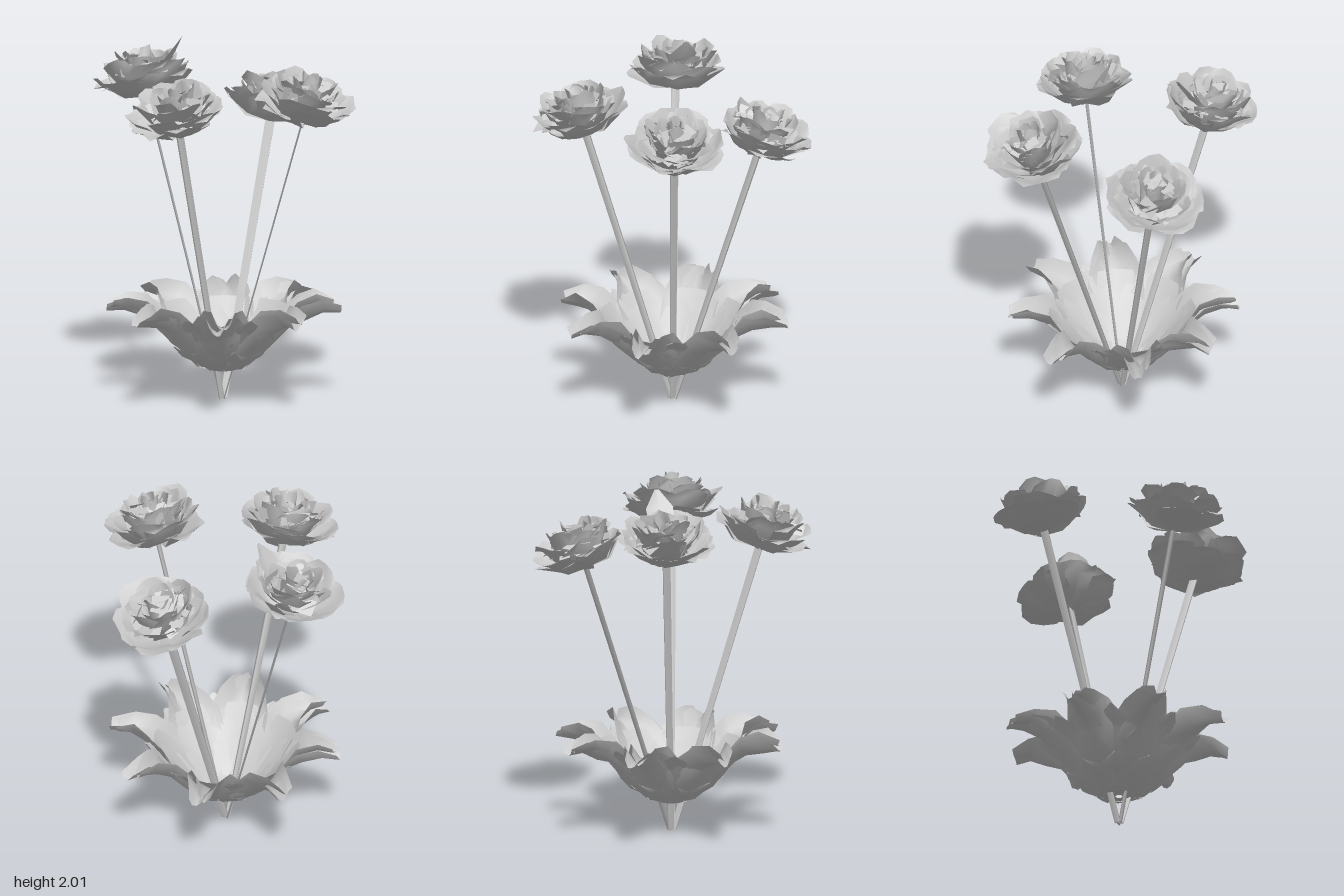
import * as THREE from 'three';
import { mergeGeometries } from 'three/addons/utils/BufferGeometryUtils.js';

const petalMat = new THREE.MeshStandardMaterial({ color: 0xcccccc, side: THREE.DoubleSide });

let seed = 7;
const rand = () => {
  seed = (seed * 16807) % 2147483647;
  return seed / 2147483647;
};
const jitter = (a) => (rand() * 2 - 1) * a;

// Petal from rows [radius, height, half width, edge lift], wrapped around the y axis
function petal(rows, angle, crumple, across = 4) {
  const pos = [], idx = [];
  rows.forEach(([r, y, w, lift], i) => {
    const half = Math.min(w / r, 1.2);
    const c = i ? crumple : 0;
    for (let j = 0; j <= across; j++) {
      const t = (j / across) * 2 - 1;
      const a = angle + t * half;
      const rr = r + jitter(c);
      pos.push(Math.sin(a) * rr, y + lift * t * t + jitter(c), Math.cos(a) * rr);
      if (i && j) {
        const n = across + 1, p = i * n + j;
        idx.push(p - n - 1, p - n, p, p - n - 1, p, p - 1);
      }
    }
  });
  const g = new THREE.BufferGeometry();
  g.setAttribute('position', new THREE.Float32BufferAttribute(pos, 3));
  g.setIndex(idx);
  g.computeVertexNormals();
  return g;
}

function mesh(name, geometry) {
  const m = new THREE.Mesh(geometry, petalMat);
  m.name = name;
  return m;
}

// Rose head: nested rings of petals, base at the origin, opening along +y
function roseHead() {
  const head = new THREE.Group();
  head.name = 'roseHead';
  // [petal count, rim radius, rim height, half width, outward curl, petal tilt]
  const rings = [
    [6, 0.24, 0.115, 0.15, 0.025, 0.1],
    [6, 0.235, 0.155, 0.14, 0.03, 0.13],
    [6, 0.19, 0.2, 0.125, 0.03, 0.17],
    [6, 0.15, 0.235, 0.11, 0.025, 0.2],
    [5, 0.105, 0.25, 0.085, 0.015, 0.24],
    [4, 0.065, 0.26, 0.06, 0.01, 0.25],
  ];
  rings.forEach(([count, R, H, w, curl, tilt], k) => {
    const petals = [];
    for (let i = 0; i < count; i++) {
      const r = R + jitter(0.015), h = H + jitter(0.022);
      const rows = [
        [0.02, 0.0, 0.02, 0],
        [r * 0.62, h * 0.24, w * 0.75, 0],
        [r * 0.93, h * 0.66, w, 0.015],
        [r + curl, h, w * 0.7, -0.02],
      ];
      const g = petal(rows, ((i + k * 0.43) / count) * Math.PI * 2 + jitter(0.2), 0.013, 3);
      // Tip each petal a little about the middle of the head
      g.translate(0, -0.12, 0).rotateX(jitter(tilt)).rotateZ(jitter(tilt)).translate(0, 0.12, 0);
      petals.push(g);
    }
    head.add(mesh('petalRing' + (k + 1), mergeGeometries(petals)));
  });

  // Crumpled heart of loose, randomly turned small petals
  const heart = [];
  for (let i = 0; i < 40; i++) {
    const g = new THREE.PlaneGeometry(0.05 + rand() * 0.07, 0.04 + rand() * 0.06);
    g.rotateX(jitter(1.4)).rotateY(rand() * 6.3);
    const a = rand() * 6.3, d = Math.sqrt(rand()) * 0.17;
    g.translate(Math.cos(a) * d, 0.25 - d * 0.45 - rand() * 0.06, Math.sin(a) * d);
    heart.push(g);
  }
  head.add(mesh('heartPetals', mergeGeometries(heart)));
  return head;
}

// Stem: slim four-sided bar or flat ribbon between two points
function stem(from, to, wide, width, depth) {
  const dir = to.clone().sub(from);
  const g = new THREE.CylinderGeometry(Math.SQRT1_2, Math.SQRT1_2 * 0.75, dir.length(), 4);
  g.rotateY(Math.PI / 4);
  g.scale(width, 1, depth);
  const y = dir.clone().normalize();
  const x = wide.clone().addScaledVector(y, -wide.dot(y)).normalize();
  const z = x.clone().cross(y);
  g.applyMatrix4(new THREE.Matrix4().makeBasis(x, y, z));
  g.translate(...from.clone().add(to).multiplyScalar(0.5).toArray());
  return mesh('stem', g);
}

// Leafy bowl around the stems
function leafBowl() {
  const bowl = new THREE.Group();
  bowl.name = 'leafBowl';
  const profile = [[0.02, 0.16], [0.1, 0.175], [0.19, 0.23], [0.27, 0.31], [0.34, 0.4], [0.39, 0.465], [0.41, 0.49]];
  bowl.add(mesh('bowlLining', new THREE.LatheGeometry(profile.map((p) => new THREE.Vector2(...p)), 16)));

  // Eight long leaves, doubled, with narrow drooping tips and raised ragged edges
  const longLeaves = [];
  for (let i = 0; i < 8; i++) {
    const a = (i / 8) * Math.PI * 2 + jitter(0.04);
    for (const inner of [0, 1]) {
      const s = 1 + jitter(0.02) - inner * 0.04;
      const y = inner * 0.02;
      longLeaves.push(petal([
        [0.02, 0.16, 0.02, 0],
        [0.14, 0.19, 0.09, 0],
        [0.27, 0.3, 0.15, 0.01],
        [0.37, 0.405, 0.155, 0.07],
        [0.45 * s, 0.45 + y, 0.11, 0.1],
        [0.55 * s, 0.485 + y, 0.065, 0.085],
        [0.645 * s, 0.49 + y, 0.04, 0.04],
      ], a + inner * 0.06, 0.012, 4));
    }
  }
  bowl.add(mesh('longLeaves', mergeGeometries(longLeaves)));

  // Broad pointed scales lying against the outside of the bowl
  const scales = [];
  [[0.26, 0.275], [0.35, 0.39], [0.43, 0.49]].forEach(([r, y], k) => {
    for (let i = 0; i < 8; i++) {
      scales.push(petal([
        [r * 0.3, 0.165 + k * 0.01, 0.03, 0],
        [r * 0.7, y * 0.68 + 0.04, 0.12, 0.01],
        [r * 0.9, y * 0.92, 0.09, 0.01],
        [r + 0.02, y + 0.03, 0.012, 0],
      ], ((i + 0.5 * (k + 1)) / 8) * Math.PI * 2 + jitter(0.08), 0.006));
    }
  });
  bowl.add(mesh('outerScales', mergeGeometries(scales)));
  return bowl;
}

export function createModel() {
  const model = new THREE.Group();
  model.name = 'roseBouquet';
  const V = (x, y, z) => new THREE.Vector3(x, y, z);

  // [stem top, tilt in degrees, wide direction, stem width, stem depth]
  const roses = [
    [V(-0.12, 1.48, -0.455), 20, V(1, 0, -1), 0.052, 0.012],
    [V(0.49, 1.62, -0.155), 14, V(1, 0, 1), 0.044, 0.01],
    [V(-0.485, 1.645, 0.13), 10, V(1, 0, 1), 0.044, 0.01],
    [V(0.155, 1.6, 0.46), 14, V(0, 0, 1), 0.04, 0.018],
  ];
  roses.forEach(([top, tilt, wide, width, depth], i) => {
    const rose = new THREE.Group();
    rose.name = 'rose' + (i + 1);
    const out = V(top.x, 0, top.z).normalize();
    const foot = out.clone().multiplyScalar(0.01);
    const t = THREE.MathUtils.degToRad(tilt);
    const axis = V(0, Math.cos(t), 0).addScaledVector(out, Math.sin(t));
    const head = roseHead();
    head.position.copy(top);
    head.quaternion.setFromUnitVectors(V(0, 1, 0), axis);
    rose.add(stem(foot, top.clone().addScaledVector(axis, 0.03), wide, width, depth), head);
    model.add(rose);
  });

  // One petal standing up past the tallest rose, towards the middle
  const standing = petal([[0.1, 0, 0.08, 0], [0.17, 0.1, 0.08, 0], [0.21, 0.19, 0.012, 0]], 2.14, 0.004, 2);
  standing.translate(-0.49, 1.81, 0.13);
  model.add(mesh('standingPetal', standing));

  model.add(leafBowl());
  return model;
}
